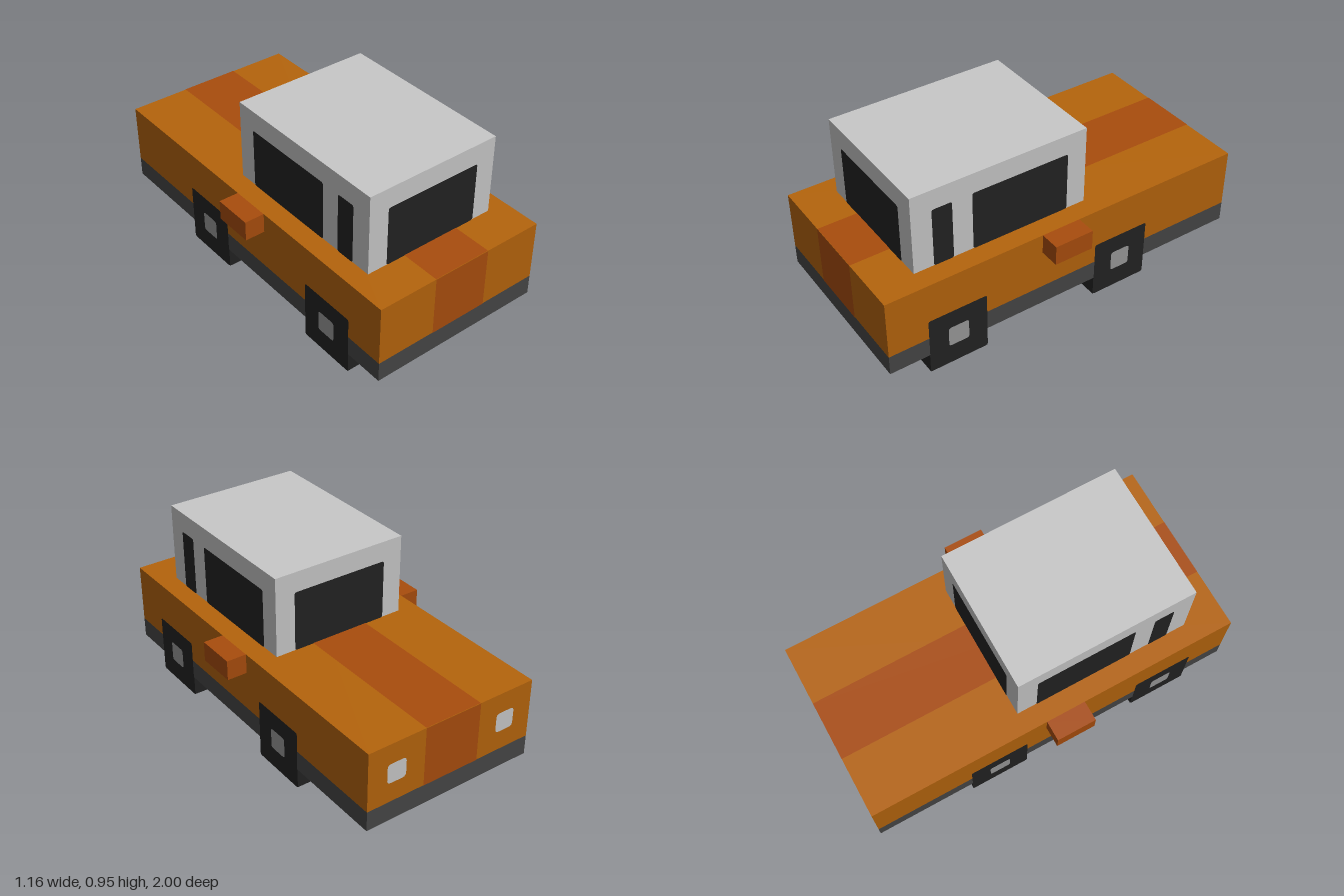
import * as THREE from 'three';

const U = 2 / 19; // block unit: the car is 19 units long
const LIFT = 0.002; // painted details sit just above the surface

function material(name, color) {
  const m = new THREE.MeshStandardMaterial({ color });
  m.name = name;
  return m;
}

export function createModel() {
  const car = new THREE.Group();
  car.name = 'pickupCar';

  const orange = material('orangePaint', 0xb5640c);
  const rust = material('rustStripe', 0xa94d0d);
  const grey = material('darkGreySill', 0x464646);
  const black = material('nearBlack', 0x222222);
  const light = material('lightGrey', 0xc8c8c8);
  const hubGrey = material('hubGrey', 0x999999);

  // Box given by its limits in block units
  function box(name, mat, [x0, x1], [y0, y1], [z0, z1]) {
    const mesh = new THREE.Mesh(new THREE.BoxGeometry((x1 - x0) * U, (y1 - y0) * U, (z1 - z0) * U), mat);
    mesh.position.set((x0 + x1) * U / 2, (y0 + y1) * U / 2, (z0 + z1) * U / 2);
    mesh.name = name;
    car.add(mesh);
    return mesh;
  }

  // Flat panel with slightly rounded corners, facing +z before it is turned
  function panel(name, mat, w, h, r = 0.012) {
    const x = w * U / 2, y = h * U / 2;
    const s = new THREE.Shape();
    s.moveTo(-x + r, -y).lineTo(x - r, -y).quadraticCurveTo(x, -y, x, -y + r);
    s.lineTo(x, y - r).quadraticCurveTo(x, y, x - r, y);
    s.lineTo(-x + r, y).quadraticCurveTo(-x, y, -x, y - r);
    s.lineTo(-x, -y + r).quadraticCurveTo(-x, -y, -x + r, -y);
    const mesh = new THREE.Mesh(r ? new THREE.ShapeGeometry(s, 3) : new THREE.PlaneGeometry(2 * x, 2 * y), mat);
    mesh.name = name;
    car.add(mesh);
    return mesh;
  }

  // Panel on a side wall (side = 1 left, -1 right)
  function sidePanel(name, mat, side, wall, y, z, w, h, r) {
    const p = panel(name, mat, w, h, r);
    p.rotation.y = side * Math.PI / 2;
    p.position.set(side * (wall * U + LIFT), y * U, z * U);
  }

  // Panel on an end wall (dir = 1 front, -1 back)
  function endPanel(name, mat, dir, wall, x, y, w, h, r) {
    const p = panel(name, mat, w, h, r);
    if (dir < 0) p.rotation.y = Math.PI;
    p.position.set(x * U, y * U, wall * U + dir * LIFT);
  }

  // Body, sill with black underside, and cabin
  box('sill', [grey, grey, grey, black, grey, grey], [-4.5, 4.5], [1, 2], [-9.5, 9.5]);
  box('body', orange, [-4.5, 4.5], [2, 5], [-9.5, 9.5]);
  box('cabin', light, [-3.5, 3.5], [5, 9], [-1.5, 7.5]);

  // Stripe over the top and both ends
  const top = panel('topStripe', rust, 3, 19, 0);
  top.rotation.x = -Math.PI / 2;
  top.position.y = 5 * U + LIFT;
  for (const dir of [1, -1]) {
    endPanel('endStripe', rust, dir, dir * 9.5, 0, 3.5, 3, 3, 0);
    endPanel('endWindow', black, dir, dir > 0 ? 7.5 : -1.5, 0, 6.5, 5, 3);
  }

  for (const side of [1, -1]) {
    // Side windows
    sidePanel('smallWindow', black, side, 3.5, 6.5, 6, 1, 3);
    sidePanel('doorWindow', black, side, 3.5, 6.5, 2, 5, 3);

    // Lamps on the back end
    endPanel('lamp', light, -1, -9.5, side * 3, 3.5, 1, 1, 0.02);

    // Mirror blocks
    const xs = side > 0 ? [4.5, 5.5] : [-5.5, -4.5];
    box('mirror', rust, xs, [4, 5], [-0.5, 1.5]);

    // Wheels: block under the body, face and hub on the side wall
    for (const z of [6, -3]) {
      box('wheel', black, side > 0 ? [2.5, 4.5] : [-4.5, -2.5], [0, 1], [z - 1.5, z + 1.5]);
      sidePanel('wheelFace', black, side, 4.5, 1.5, z, 3, 3);
      sidePanel('hub', hubGrey, side, 4.52, 1.57, z, 1.05, 1.05, 0.015);
    }
  }
  return car;
}
